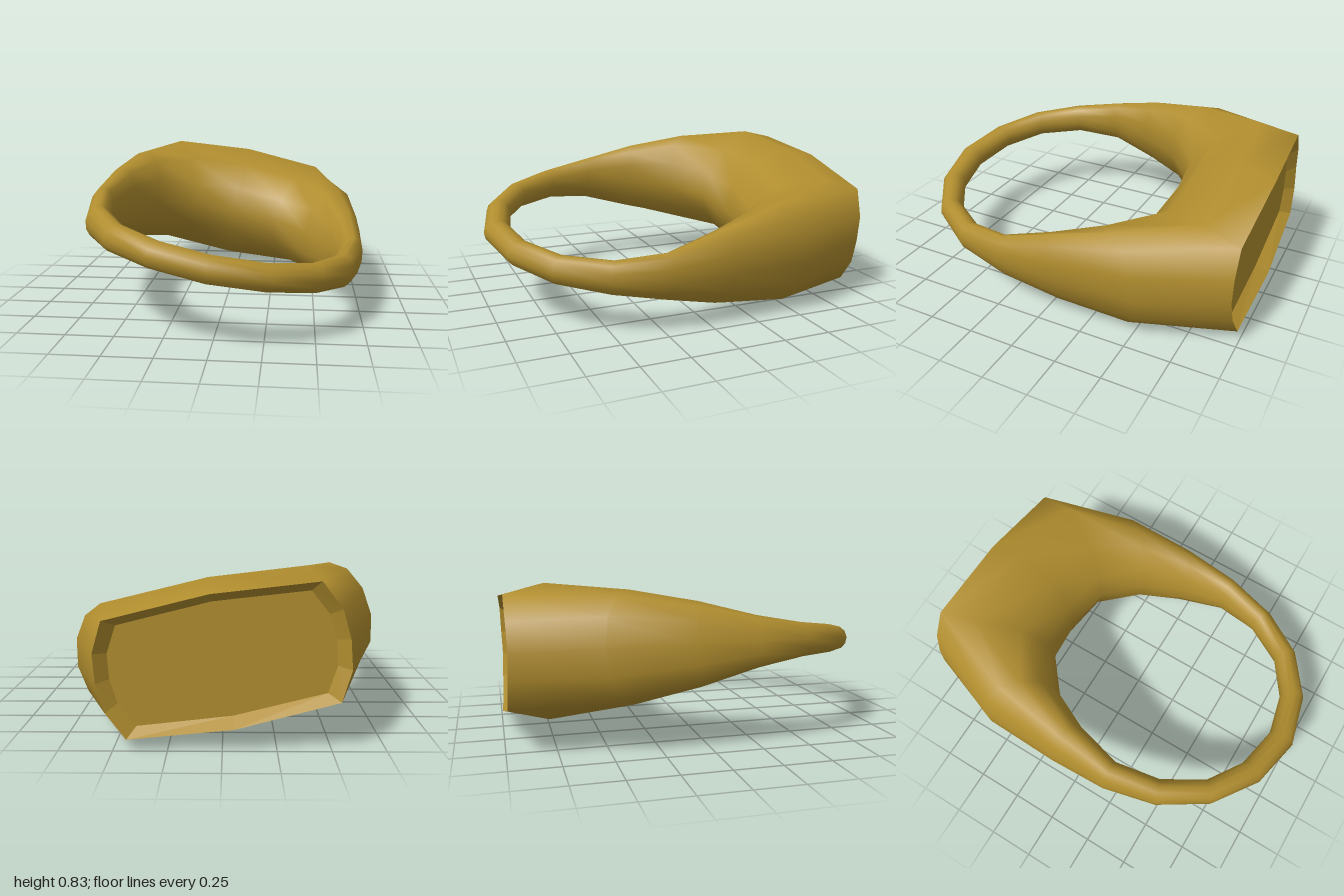
import * as THREE from 'three';

const SIDES = 12;      // points around each cross-section
const EDGE = 4;        // section index where the top surface meets the flat face

// Half of the ring, front to back: inner x, inner z, outer x, outer z, half height
const HALF = [
  [0, 0.86, 0, 1, 0.07],
  [0.24, 0.81, 0.29, 0.935, 0.07],
  [0.44, 0.68, 0.53, 0.77, 0.075],
  [0.57, 0.47, 0.69, 0.52, 0.088],
  [0.62, 0.23, 0.755, 0.23, 0.13],
  [0.56, -0.02, 0.76, -0.1, 0.21],
  [0.45, -0.24, 0.745, -0.54, 0.28],
  [0.25, -0.41, 0.57, -0.985, 0.335],
  [0, -0.44, 0, -1, 0.366],
];

// Fuller profile for the two head stations: [t from inner to outer, fraction of height]
const HEAD = [[0, 0], [0.06, 0.38], [0.27, 0.78], [0.65, 1]];
// Where those stations reach the face: points from the top edge to mid height
const FACE_EDGE = {
  7: [[0.49, 0.28, -0.985], [0.56, 0.14, -0.98], [0.575, 0, -0.975]],
  8: [[0, 0.315, -1], [0, 0.16, -0.99], [0, 0, -0.99]],
};

// One point of a half-ring section; the lower half mirrors the upper half
function sectionPoint(i, k) {
  if (k > SIDES / 2) {
    const p = sectionPoint(i, SIDES - k);
    p.y *= -1;
    return p;
  }
  const [ix, iz, ox, oz, h] = HALF[i];
  if (i >= 7 && k >= EDGE) return new THREE.Vector3(...FACE_EDGE[i][k - EDGE]);
  const a = (k / SIDES) * Math.PI * 2;
  const [t, f] = i >= 7 ? HEAD[k] : [0.5 - 0.5 * Math.cos(a), Math.sin(a)];
  return new THREE.Vector3(ix + (ox - ix) * t, h * f, iz + (oz - iz) * t);
}

// Closed loop of sections, with the -x half mirrored from the +x half
function buildSections() {
  const last = HALF.length - 1;
  const sections = [];
  for (let s = 0; s < last * 2; s++) {
    const i = s <= last ? s : last * 2 - s;
    const row = [];
    for (let k = 0; k < SIDES; k++) {
      const p = sectionPoint(i, k);
      p.x *= (s <= last ? 1 : -1) * 1.015;
      row.push(p);
    }
    sections.push(row);
  }
  return sections;
}

function geometryFrom(points, index) {
  const g = new THREE.BufferGeometry().setFromPoints(points);
  if (index) g.setIndex(index);
  g.computeVertexNormals();
  return g;
}

export function createModel() {
  const gold = new THREE.MeshStandardMaterial({ color: 0xb08d2e });
  const sections = buildSections();
  const n = sections.length;

  // Band and shoulders, left open where the flat face sits
  const index = [];
  for (let s = 0; s < n; s++) {
    const atFace = s === 7 || s === 8;
    for (let k = 0; k < SIDES; k++) {
      if (atFace && k >= EDGE && k < SIDES - EDGE) continue;
      const s2 = (s + 1) % n, k2 = (k + 1) % SIDES;
      const a = s * SIDES + k, b = s * SIDES + k2;
      const c = s2 * SIDES + k2, d = s2 * SIDES + k;
      index.push(a, b, c, a, c, d);
    }
  }
  const band = new THREE.Mesh(geometryFrom(sections.flat(), index), gold);
  band.name = 'band';

  // Face outline, running down the +x side and up the -x side
  const outline = [];
  for (let k = EDGE; k <= SIDES - EDGE; k++) outline.push(sections[7][k]);
  outline.push(sections[8][SIDES - EDGE]);
  for (let k = SIDES - EDGE; k >= EDGE; k--) outline.push(sections[9][k]);
  outline.push(sections[8][EDGE]);
  const inset = outline.map((p) => new THREE.Vector3(p.x * 0.9, p.y * 0.86, -0.93));

  // Bevelled rim and recessed plate, flat faceted
  const rimPoints = [], platePoints = [];
  const centre = new THREE.Vector3(0, 0, -0.93);
  outline.forEach((p, i) => {
    const j = (i + 1) % outline.length;
    rimPoints.push(p, outline[j], inset[j], p, inset[j], inset[i]);
    platePoints.push(centre, inset[i], inset[j]);
  });
  const rim = new THREE.Mesh(geometryFrom(rimPoints), gold);
  rim.name = 'faceRim';
  const plate = new THREE.Mesh(geometryFrom(platePoints), gold);
  plate.name = 'facePlate';

  // Whole ring leans slightly to one side
  const ring = new THREE.Group();
  ring.name = 'ring';
  ring.add(band, rim, plate);
  ring.rotation.z = -0.18;
  ring.position.y = 0.395;

  const model = new THREE.Group();
  model.name = 'signetRing';
  model.add(ring);
  return model;
}
